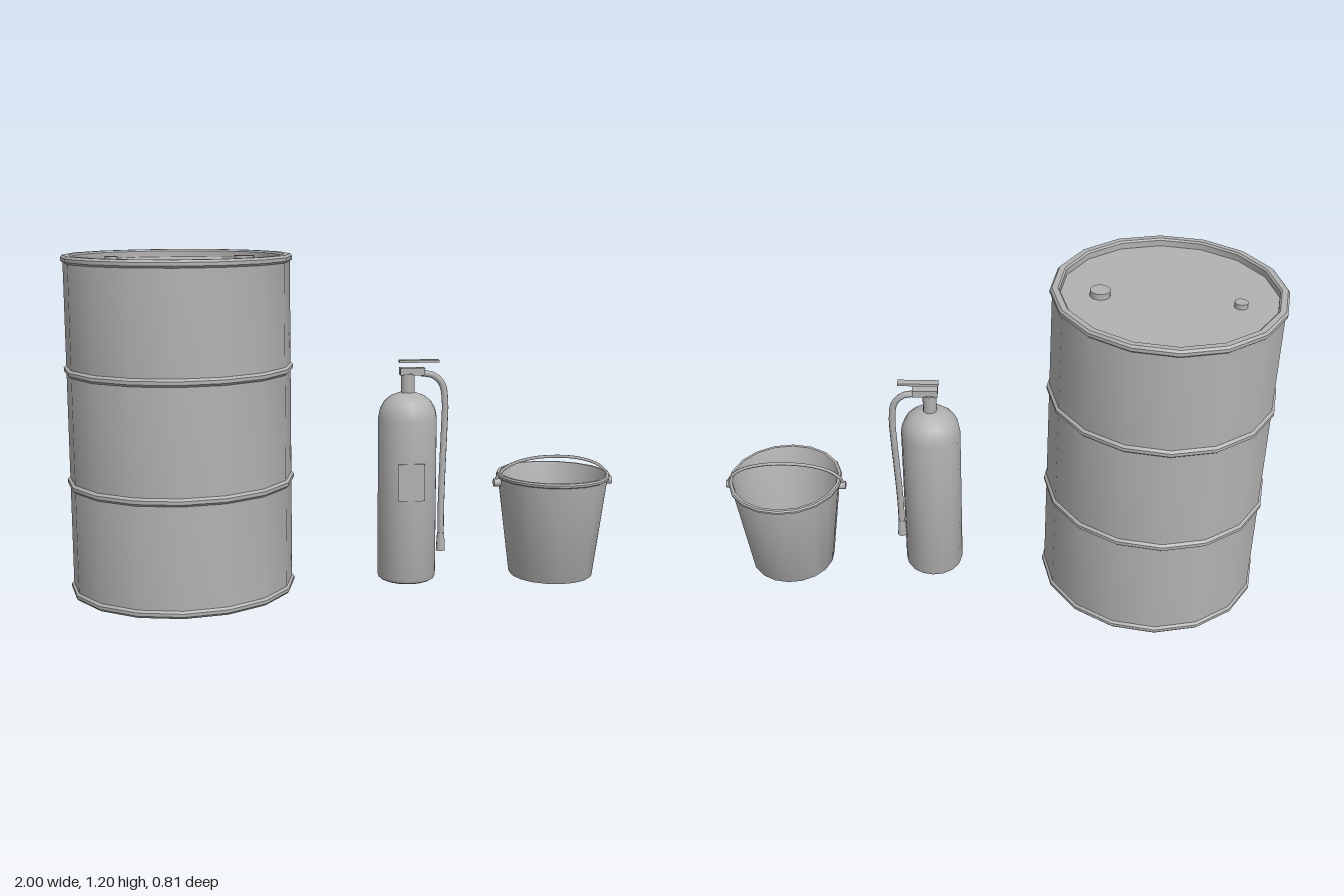
import * as THREE from 'three';
import { toCreasedNormals } from 'three/addons/utils/BufferGeometryUtils.js';

export function createModel() {
  const grey = new THREE.MeshStandardMaterial({ color: 0xb2b2b2 });
  grey.name = 'grey';

  const add = (parent, name, geometry, x = 0, y = 0, z = 0) => {
    const mesh = new THREE.Mesh(geometry, grey);
    mesh.name = name;
    mesh.position.set(x, y, z);
    parent.add(mesh);
    return mesh;
  };
  // Revolved [radius, height] profile, smooth around and crisp at edges
  const lathe = (profile, sides = 16) =>
    toCreasedNormals(new THREE.LatheGeometry(profile.map(([r, y]) => new THREE.Vector2(r, y)), sides), 0.6);
  const tube = (points, radius, segments = 24, sides = 8) =>
    new THREE.TubeGeometry(new THREE.CatmullRomCurve3(points.map(p => new THREE.Vector3(...p))), segments, radius, sides);
  const group = (name, x) => {
    const g = new THREE.Group();
    g.name = name;
    g.position.x = x;
    model.add(g);
    return g;
  };

  const model = new THREE.Group();
  model.name = 'drumExtinguisherAndBucket';

  // Steel drum: rolled rims, two rolling hoops, recessed lid
  const drum = group('drum', -0.596);
  const R = 0.395;
  const hoop = y => [[R, y - 0.014], [0.404, y - 0.006], [0.404, y + 0.006], [R, y + 0.014]];
  add(drum, 'drumShell', lathe([
    [0, 0], [0.396, 0], [0.403, 0.008], [0.403, 0.019], [R, 0.027],
    ...hoop(0.4), ...hoop(0.8),
    [R, 1.173], [0.403, 1.18], [0.403, 1.192], [0.396, 1.2],
    [0.376, 1.2], [0.37, 1.194], [0.37, 1.172], [0, 1.172],
  ]));
  add(drum, 'largeBung', new THREE.CylinderGeometry(0.035, 0.035, 0.022, 16), 0.233, 1.183, 0);
  add(drum, 'smallBung', new THREE.CylinderGeometry(0.023, 0.023, 0.018, 16), -0.232, 1.181, -0.067);

  // Fire extinguisher
  const extinguisher = group('extinguisher', 0.224);
  add(extinguisher, 'cylinder', lathe([
    [0, 0], [0.092, 0], [0.103, 0.006], [0.108, 0.02], [0.108, 0.605],
    [0.102, 0.636], [0.087, 0.663], [0.062, 0.684], [0.03, 0.696], [0, 0.698],
  ]));
  add(extinguisher, 'neck', new THREE.CylinderGeometry(0.025, 0.025, 0.075, 12), 0, 0.727, 0);
  add(extinguisher, 'carryHandle', new THREE.BoxGeometry(0.09, 0.026, 0.034), 0.016, 0.773, 0);
  add(extinguisher, 'squeezeLever', new THREE.BoxGeometry(0.146, 0.009, 0.028), 0.04, 0.81, 0);
  add(extinguisher, 'hose', tube([
    [0.05, 0.766, 0], [0.095, 0.757, 0], [0.127, 0.725, 0], [0.138, 0.66, 0],
    [0.136, 0.56, 0.002], [0.13, 0.42, 0.008], [0.125, 0.28, 0.016], [0.124, 0.165, 0.02],
  ], 0.012, 32));
  add(extinguisher, 'nozzle', new THREE.CylinderGeometry(0.013, 0.017, 0.068, 10), 0.124, 0.14, 0.02);
  add(extinguisher, 'label', new THREE.BoxGeometry(0.096, 0.136, 0.005), 0, 0.383, 0.108);

  // Open bucket with rolled rim
  const bucket = group('bucket', 0.773);
  add(bucket, 'bucketShell', lathe([
    [0, 0], [0.153, 0], [0.157, 0.008], [0.203, 0.368], [0.21, 0.372],
    [0.211, 0.38], [0.207, 0.386], [0.197, 0.386], [0.194, 0.378], [0.148, 0.012], [0, 0.012],
  ], 18));

  // Wire bail, ending at the two ears
  add(bucket, 'bail', tube([
    [-0.217, 0.35, 0], [-0.208, 0.378, 0], [-0.17, 0.413, 0], [-0.095, 0.438, 0], [0, 0.446, 0],
    [0.095, 0.438, 0], [0.17, 0.413, 0], [0.208, 0.378, 0], [0.217, 0.35, 0],
  ], 0.006, 28, 6));
  for (const side of [-1, 1]) {
    const ear = add(bucket, side > 0 ? 'leftEar' : 'rightEar',
      new THREE.CylinderGeometry(0.015, 0.015, 0.026, 12), side * 0.211, 0.352, 0);
    ear.rotation.z = Math.PI / 2;
  }

  return model;
}
